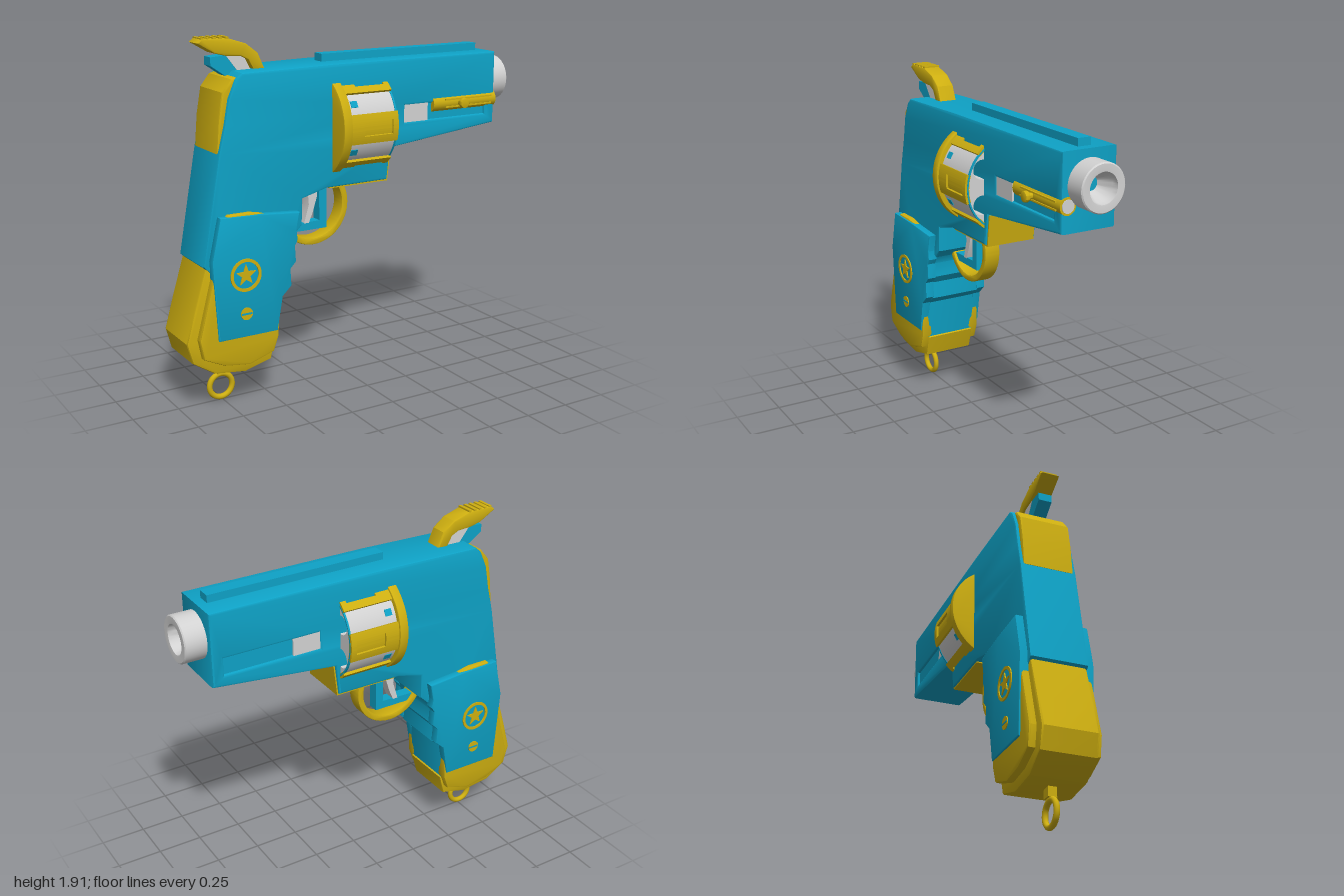
import * as THREE from 'three';
import { toCreasedNormals } from 'three/addons/utils/BufferGeometryUtils.js';

const blue = new THREE.MeshStandardMaterial({ color: 0x0ea2c6 });
const gold = new THREE.MeshStandardMaterial({ color: 0xcdae10 });
const silver = new THREE.MeshStandardMaterial({ color: 0xd2d2d2 });
blue.name = 'blue';
gold.name = 'gold';
silver.name = 'silver';

const poly = (pts) => new THREE.Shape(pts.map(([x, y]) => new THREE.Vector2(x, y)));
const rect = (x0, x1, y0, y1) => poly([[x0, y0], [x1, y0], [x1, y1], [x0, y1]]);
const circle = (x, y, r) => new THREE.Shape().absarc(x, y, r, 0, Math.PI * 2, false);

// Ring segment between two radii and two angles
function sector(r0, r1, a0, a1) {
  const s = new THREE.Shape();
  s.absarc(0, 0, r1, a0, a1, false);
  s.absarc(0, 0, r0, a1, a0, true);
  return s;
}

// Profile extruded from z0 to z1, with an optional rounded edge
function slab(shape, z0, z1, bevel = 0) {
  const g = new THREE.ExtrudeGeometry(shape, {
    depth: z1 - z0 - 2 * bevel, bevelEnabled: bevel > 0, bevelSize: bevel,
    bevelThickness: bevel, bevelOffset: -bevel, bevelSegments: 2, curveSegments: 32,
  });
  g.translate(0, 0, z0 + bevel);
  return toCreasedNormals(g, 0.5);
}

// Same, but extruded along x around the cylinder axis
const along = (shape, x0, x1, bevel = 0) => slab(shape, x0, x1, bevel).rotateY(Math.PI / 2);

export function createModel() {
  const model = new THREE.Group();
  model.name = 'toyRevolver';
  const add = (name, geometry, material, parent = model) => {
    const m = new THREE.Mesh(geometry, material);
    m.name = name;
    parent.add(m);
    return m;
  };

  // Frame, barrel shroud and grip core with a slot through the barrel
  const frame = poly([
    [-0.665, 1.74], [-0.7, 1.71], [-0.74, 1.62], [-0.765, 1.49], [-0.8, 1.35], [-0.9, 0.79],
    [-0.86, 0.75], [-0.9, 0.35], [-0.505, 0.35], [-0.485, 0.575], [-0.43, 0.62],
    [-0.435, 0.715], [-0.4, 0.76], [-0.405, 0.84], [-0.39, 0.88], [-0.34, 0.93],
    [-0.335, 1.07], [-0.19, 1.108], [0.18, 1.11], [0.2, 1.28], [0.885, 1.355],
    [0.885, 1.75], [-0.15, 1.75],
  ]);
  frame.holes.push(rect(0.29, 0.82, 1.41, 1.5));
  add('frame', slab(frame, -0.152, 0.152, 0.012), blue);
  add('slotFloor', slab(rect(0.44, 0.84, 1.39, 1.52), -0.137, 0.137), blue);
  add('slotPlate', slab(rect(0.285, 0.44, 1.4, 1.51), -0.147, 0.147), silver);
  add('topRail', slab(rect(-0.155, 0.835, 1.74, 1.79), -0.036, 0.036), blue);

  // Plate under the cylinder
  add('underPlate', slab(poly([
    [0.207, 1.275], [0.187, 1.102], [-0.17, 1.102], [-0.17, 1.12], [0.16, 1.12], [0.18, 1.275],
  ]), -0.14, 0.14), gold);

  // Muzzle with a funnel bore
  const muzzle = new THREE.LatheGeometry([
    [0.034, 0.89], [0.074, 0.965], [0.078, 0.999], [0.084, 1], [0.116, 1], [0.122, 0.994], [0.122, 0.87],
  ].map(([r, x]) => new THREE.Vector2(r, x)).reverse(), 48);
  const muzzleMesh = add('muzzle', toCreasedNormals(muzzle.rotateZ(-Math.PI / 2), 0.5), silver);
  muzzleMesh.position.y = 1.585;
  muzzleMesh.material = silver;
  const bore = add('boreEnd', new THREE.CylinderGeometry(0.036, 0.036, 0.01, 24).rotateZ(Math.PI / 2), blue);
  bore.position.set(0.889, 1.585, 0);

  // Ejector rod with its knob on the left-hand side of the barrel
  const rod = new THREE.Group();
  rod.name = 'ejector';
  rod.position.set(0, 1.49, 0.12);
  model.add(rod);
  const tube = (name, r, x0, x1, mat) => add(name,
    new THREE.CylinderGeometry(r, r, x1 - x0, 24).rotateZ(Math.PI / 2).translate((x0 + x1) / 2, 0, 0), mat, rod);
  tube('ejectorTube', 0.045, 0.47, 0.889, gold);
  tube('ejectorTip', 0.034, 0.885, 0.893, silver);
  for (const y of [-0.02, 0.02]) {
    add('ejectorRib', new THREE.BoxGeometry(0.31, 0.008, 0.012).translate(0.7, y, 0.042), gold, rod);
  }
  add('knobStem', slab(circle(0.645, 0, 0.016), 0.03, 0.07), gold, rod);
  add('knobHead', slab(circle(0.645, 0, 0.028), 0.065, 0.09, 0.006), gold, rod);

  // Cylinder: chambered drum, rear flange and windowed plates
  const drum = new THREE.Group();
  drum.name = 'cylinder';
  drum.position.y = 1.42;
  model.add(drum);
  const drumShape = circle(0, 0, 0.25);
  for (let i = 0; i < 6; i++) {
    const a = Math.PI / 6 + i * Math.PI / 3;
    drumShape.holes.push(circle(Math.cos(a) * 0.188, Math.sin(a) * 0.188, 0.052));
  }
  add('drum', along(drumShape, -0.12, 0.173), silver, drum);
  add('rearFlange', along(circle(0, 0, 0.277), -0.16, -0.11, 0.005), gold, drum);
  const rim = circle(0, 0, 0.253);
  rim.holes.push(circle(0, 0, 0.244));
  add('frontRim', along(rim, 0.166, 0.176), blue, drum);
  const w = 0.3, h = 0.145;
  for (let i = 0; i < 6; i++) {
    const plate = new THREE.Group();
    plate.name = 'drumPlate';
    plate.rotation.x = i * Math.PI / 3;
    drum.add(plate);
    for (const [a0, a1, x0, x1, r] of [
      [-w, -h, -0.11, 0.175, 0.265], [h, w, -0.11, 0.175, 0.265],
      [-h, h, -0.11, -0.03, 0.265], [-h, h, 0.143, 0.175, 0.265], [-h, h, -0.03, 0.143, 0.253],
    ]) add('plateSection', along(sector(0.24, r, a0, a1), x0, x1), gold, plate);
    const mark = add('drumMark', new THREE.BoxGeometry(0.04, 0.036, 0.006), blue, drum);
    const a = Math.PI / 6 + i * Math.PI / 3;
    mark.position.set(-0.07, Math.sin(a) * 0.25, Math.cos(a) * 0.25);
    mark.rotation.x = -a;
  }

  // Back straps and butt cap
  add('upperBackStrap', slab(poly([
    [-0.69, 1.72], [-0.715, 1.712], [-0.765, 1.65], [-0.79, 1.51], [-0.803, 1.35], [-0.72, 1.38],
  ]), -0.135, 0.135, 0.01), gold);
  add('buttCap', slab(poly([
    [-0.885, 0.79], [-0.955, 0.56], [-1, 0.4], [-0.97, 0.29], [-0.85, 0.212], [-0.68, 0.19],
    [-0.53, 0.23], [-0.497, 0.35], [-0.6, 0.42], [-0.78, 0.75],
  ]), -0.146, 0.146, 0.012), gold);

  // Star with five points
  const star = poly(Array.from({ length: 10 }, (_, i) => {
    const a = Math.PI / 2 + i * Math.PI / 5, r = i % 2 ? 0.024 : 0.058;
    return [-0.69 + r * Math.cos(a), 0.73 + r * Math.sin(a)];
  }));
  const badgeRing = circle(-0.69, 0.73, 0.086);
  badgeRing.holes.push(circle(-0.69, 0.73, 0.07));
  const liner = poly([
    [-0.855, 0.76], [-0.945, 0.42], [-0.925, 0.315], [-0.81, 0.26], [-0.67, 0.24], [-0.53, 0.285],
    [-0.5, 0.37], [-0.495, 0.55], [-0.57, 1.03], [-0.65, 1.046], [-0.77, 1.046], [-0.82, 1],
  ]);
  const panel = poly([
    [-0.82, 1.04], [-0.6, 1.033], [-0.375, 1.015], [-0.395, 0.92], [-0.388, 0.87], [-0.405, 0.84],
    [-0.4, 0.755], [-0.433, 0.72], [-0.428, 0.63], [-0.48, 0.58], [-0.512, 0.4], [-0.845, 0.4],
    [-0.87, 0.82],
  ]);

  // Grip panels with badge and screw, mirrored on both sides
  for (const s of [1, -1]) {
    const side = (name, shape, z0, z1, mat, bevel = 0) =>
      add(name, s > 0 ? slab(shape, z0, z1, bevel) : slab(shape, -z1, -z0, bevel), mat);
    side('gripLiner', liner, 0.12, 0.184, gold, 0.012);
    side('gripPanel', panel, 0.14, 0.192, blue, 0.006);
    side('badgeRing', badgeRing, 0.19, 0.198, gold);
    side('badgeStar', star, 0.19, 0.198, gold);
    side('screwHead', circle(-0.69, 0.525, 0.033), 0.19, 0.197, gold);
    side('screwSlot', rect(-0.72, -0.66, 0.52, 0.53), 0.191, 0.1985, blue);
  }

  // Hammer with a ridged spur
  add('hammerSpur', slab(poly([
    [-0.855, 1.885], [-0.83, 1.905], [-0.685, 1.9], [-0.59, 1.87], [-0.525, 1.82], [-0.49, 1.74],
    [-0.55, 1.735], [-0.58, 1.79], [-0.62, 1.81], [-0.7, 1.815], [-0.76, 1.83],
  ]), -0.05, 0.05, 0.008), gold);
  for (let i = 0; i < 5; i++) {
    add('spurRidge', new THREE.BoxGeometry(0.016, 0.014, 0.094).translate(-0.825 + i * 0.033, 1.902, 0), gold);
  }
  add('hammerBody', slab(poly([
    [-0.78, 1.812], [-0.69, 1.818], [-0.62, 1.73], [-0.7, 1.715], [-0.78, 1.77],
  ]), -0.036, 0.036), blue);
  add('hammerNeck', slab(poly([
    [-0.7, 1.82], [-0.6, 1.81], [-0.56, 1.73], [-0.63, 1.73],
  ]), -0.038, 0.038), silver);

  // Trigger guard and trigger
  add('triggerGuard', slab(sector(0.175, 0.21, 3.62, 6.93), -0.045, 0.045, 0.006)
    .translate(-0.212, 0.99, 0), gold);
  add('triggerBracket', slab(poly([
    [-0.17, 1.12], [-0.125, 1.12], [-0.125, 0.86], [-0.36, 0.86], [-0.37, 0.9], [-0.17, 0.905],
  ]), -0.03, 0.03), blue);
  add('trigger', slab(poly([
    [-0.245, 1.12], [-0.18, 1.12], [-0.185, 1.04], [-0.21, 0.96], [-0.235, 0.9], [-0.265, 0.9], [-0.235, 1],
  ]), -0.033, 0.033), silver);

  // Lanyard ring under the butt
  add('lanyardStem', new THREE.BoxGeometry(0.05, 0.06, 0.045).translate(-0.757, 0.182, 0), gold);
  add('lanyardRing', new THREE.TorusGeometry(0.065, 0.015, 12, 36).translate(-0.757, 0.08, 0), gold);
  return model;
}
